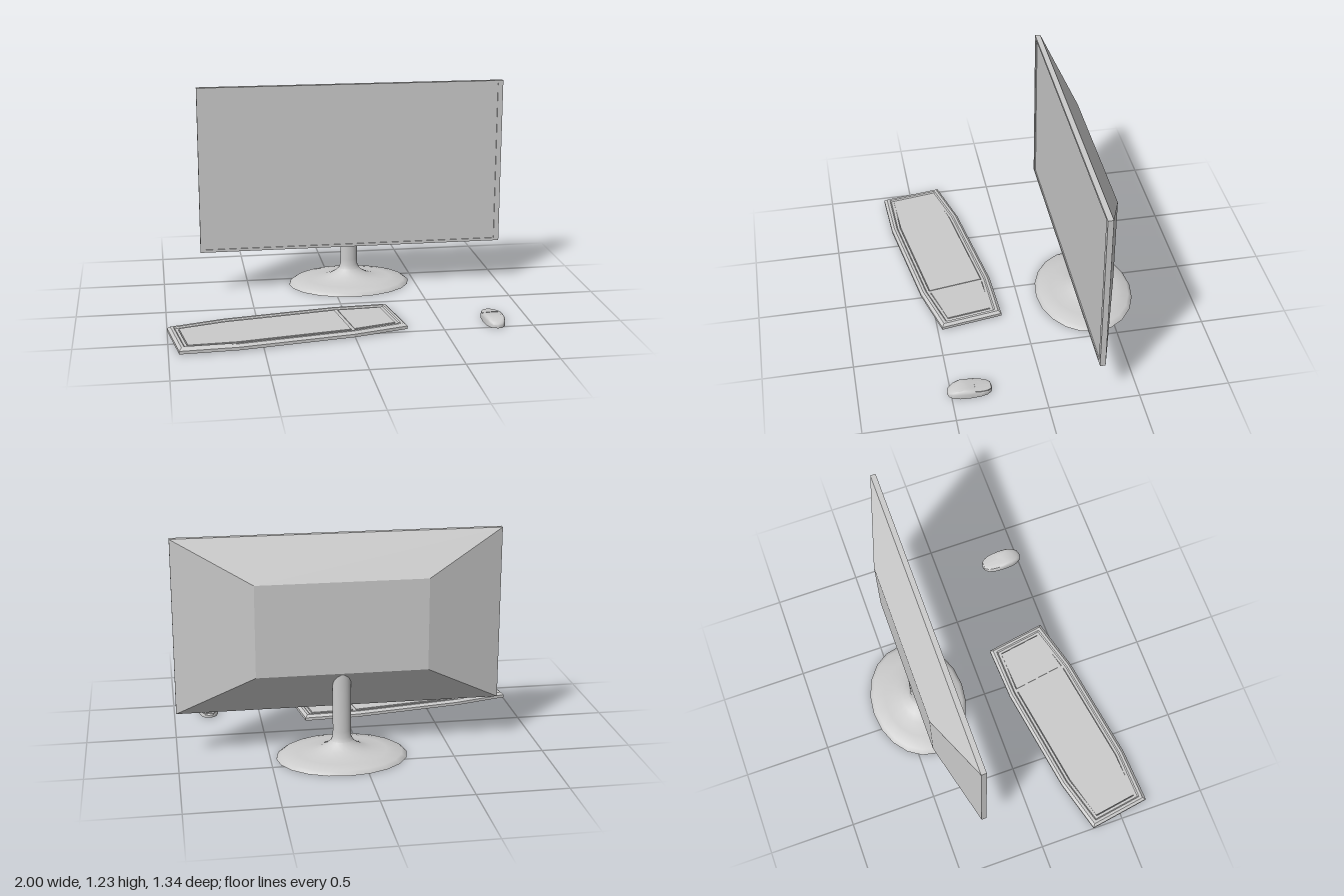
import * as THREE from 'three';
import { toCreasedNormals } from 'three/addons/utils/BufferGeometryUtils.js';

const material = new THREE.MeshStandardMaterial({ color: 0xcccccc, flatShading: true, side: THREE.DoubleSide });
const smooth = new THREE.MeshStandardMaterial({ color: 0xcccccc, side: THREE.DoubleSide });

function add(parent, name, geometry, mat = material) {
  const mesh = new THREE.Mesh(geometry, mat);
  mesh.name = name;
  parent.add(mesh);
  return mesh;
}

// Joins rings of [x, y, z] points, each ring counter-clockwise seen from the start
function loft(rings, capStart = false, capEnd = false) {
  const n = rings[0].length;
  const index = [];
  for (let r = 0; r < rings.length - 1; r++) {
    for (let i = 0; i < n; i++) {
      const a = r * n + i, b = r * n + (i + 1) % n;
      index.push(a, a + n, b, a + n, b + n, b);
    }
  }
  const last = (rings.length - 1) * n;
  for (let i = 1; i < n - 1; i++) {
    if (capStart) index.push(0, i, i + 1);
    if (capEnd) index.push(last, last + i + 1, last + i);
  }
  const geometry = new THREE.BufferGeometry();
  geometry.setAttribute('position', new THREE.Float32BufferAttribute(rings.flat(2), 3));
  geometry.setIndex(index);
  geometry.computeVertexNormals();
  return geometry;
}

function createMonitor() {
  const group = new THREE.Group();
  group.name = 'monitor';
  const rect = (hx, hy, z) => [[-hx, -hy, z], [hx, -hy, z], [hx, hy, z], [-hx, hy, z]];
  // Recessed bezel, thin rim and a tapered back
  add(group, 'housing', loft([
    rect(0.862, 0.47, -0.28),
    rect(0.862, 0.47, -0.27),
    rect(0.892, 0.486, -0.27),
    rect(0.892, 0.486, -0.30),
    rect(0.467, 0.255, -0.437),
  ], false, true));
  const screen = add(group, 'screen', new THREE.PlaneGeometry(1.724, 0.94));
  screen.position.z = -0.276;
  group.position.set(0.107, 0.746, 0);
  return group;
}

function createStand() {
  // Oval foot flaring up into the pole, hollow underneath
  const profile = [
    [0.362, 0], [0.358, 0.006], [0.335, 0.021], [0.25, 0.03], [0.17, 0.038], [0.12, 0.053],
    [0.085, 0.072], [0.062, 0.092], [0.052, 0.115], [0.05, 0.15], [0.05, 0.6],
  ].map(([r, y]) => new THREE.Vector2(r, y));
  const geometry = toCreasedNormals(new THREE.LatheGeometry(profile, 20), 0.5);
  geometry.scale(1, 1, 0.78);
  const stand = new THREE.Mesh(geometry, smooth);
  stand.name = 'stand';
  stand.position.set(0.107, 0, -0.391);
  return stand;
}

function createKeyboard() {
  const group = new THREE.Group();
  group.name = 'keyboard';
  const outline = [
    [-0.63, -0.178], [-0.315, -0.213], [0.315, -0.213], [0.63, -0.178],
    [0.63, 0.178], [0.315, 0.213], [-0.315, 0.213], [-0.63, 0.178],
  ];
  // Stepped border: [inset, height] swept round the outline
  const section = [
    [0, 0.007], [0, 0.024], [0.015, 0.037], [0.03, 0.037],
    [0.037, 0.03], [0.052, 0.03], [0.052, 0.007], [0, 0.007],
  ];
  add(group, 'keyboardFrame', loft(section.map(([s, y]) => outline.map(([x, z]) => [
    Math.sign(x) * (Math.abs(x) - (Math.abs(x) > 0.5 ? s : 0)), y, Math.sign(z) * (Math.abs(z) - s),
  ]))));

  // Key fields either side of the divider
  const panel = (name, points) => add(group, name,
    loft([0.013, 0.034].map(y => points.map(([x, z]) => [x, y, z])), true, true));
  panel('mainKeys', [[-0.574, -0.128], [-0.315, -0.157], [0.313, -0.157],
    [0.313, 0.157], [-0.315, 0.157], [-0.574, 0.128]]);
  panel('numberKeys', [[0.333, -0.155], [0.574, -0.128], [0.574, 0.128], [0.333, 0.155]]);
  const divider = add(group, 'keyDivider', new THREE.BoxGeometry(0.02, 0.023, 0.322));
  divider.position.set(0.323, 0.0185, 0);

  group.position.set(-0.35, 0, 0.397);
  group.rotation.y = THREE.MathUtils.degToRad(9);
  return group;
}

function createMouse() {
  const group = new THREE.Group();
  group.name = 'mouse';
  const rx = 0.058, rz = 0.124;
  // Side silhouette: low at the front, highest behind the middle
  const silhouette = [[-0.125, 0.025], [-0.03, 0.039], [0.01, 0.047], [0.045, 0.05], [0.085, 0.043], [0.125, 0.027]];
  const height = z => {
    let i = 0;
    while (i < silhouette.length - 2 && z > silhouette[i + 1][0]) i++;
    const [z0, y0] = silhouette[i], [z1, y1] = silhouette[i + 1];
    return y0 + (y1 - y0) * (z - z0) / (z1 - z0);
  };
  const soft = v => Math.sign(v) * Math.abs(v) ** 0.8;
  // Shell, open underneath: [scale, share of the height]
  const rings = [[1, 0], [1, 0.6], [0.95, 0.82], [0.84, 0.96], [0.6, 1], [0.3, 1], [0.02, 1]].map(([s, f]) =>
    Array.from({ length: 16 }, (_, i) => {
      const a = i * Math.PI / 8;
      const z = s * rz * soft(Math.sin(a));
      return [s * rx * soft(Math.cos(a)), f * height(z), z];
    }));
  add(group, 'mouseShell', toCreasedNormals(loft(rings, false, true), 0.7), smooth);

  // Button plate bent to follow the shell
  const plate = new THREE.BoxGeometry(2, 0.006, 0.09, 4, 1, 5);
  plate.translate(0, 0, -0.071);
  const p = plate.attributes.position;
  for (let i = 0; i < p.count; i++) {
    const u = p.getX(i), z = p.getZ(i);
    const halfWidth = 0.9 * rx * (1 - (Math.abs(z) / rz) ** 2.5) ** 0.4;
    p.setXYZ(i, u * halfWidth, p.getY(i) + height(z) - 0.004 * u * u, z);
  }
  add(group, 'mouseButtons', plate);

  group.position.set(0.797, 0, 0.397);
  return group;
}

export function createModel() {
  const model = new THREE.Group();
  model.name = 'desktopSet';
  model.add(createMonitor(), createStand(), createKeyboard(), createMouse());
  return model;
}
